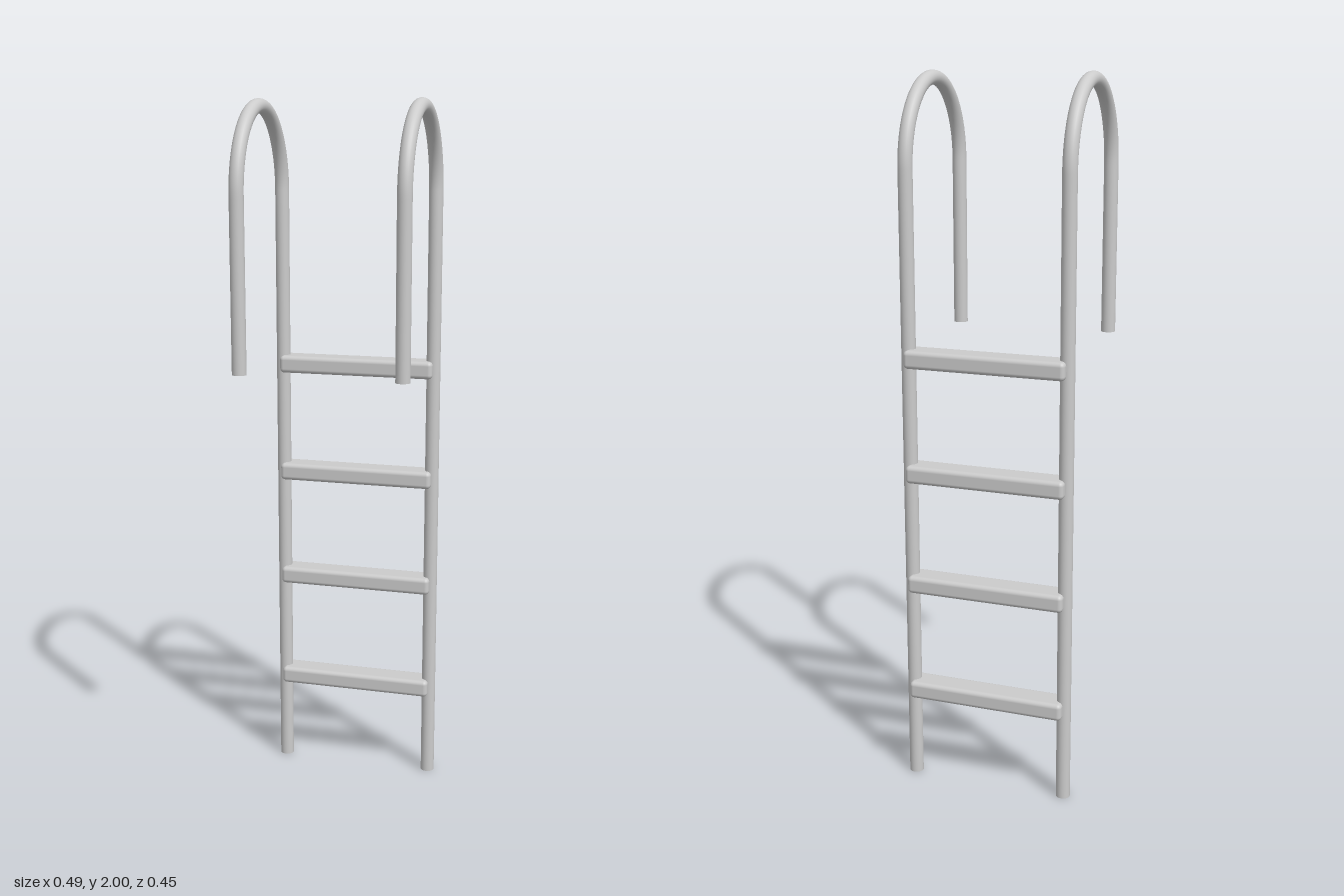
import * as THREE from 'three';
import { RoundedBoxGeometry } from 'three/addons/geometries/RoundedBoxGeometry.js';

const RADIUS = 0.02, RAIL_X = 0.226;
const BACK_Z = -0.185, FRONT_Z = 0.205;
const ARCH_Y = 1.75, TOP_Y = 1.98, GRIP_END_Y = 1.275;

const material = new THREE.MeshStandardMaterial({ color: 0xcccccc });
const point = (y, z) => new THREE.Vector3(0, y, z);

// Centre line: up the back, over a half-ellipse arch, down to the grip end
function railPath() {
  const k = 0.5523;
  const midZ = (BACK_Z + FRONT_Z) / 2;
  const reach = (FRONT_Z - BACK_Z) / 2 * k;
  const rise = ARCH_Y + (TOP_Y - ARCH_Y) * k;
  const path = new THREE.CurvePath();
  path.add(new THREE.LineCurve3(point(0, BACK_Z), point(ARCH_Y, BACK_Z)));
  path.add(new THREE.CubicBezierCurve3(
    point(ARCH_Y, BACK_Z), point(rise, BACK_Z), point(TOP_Y, midZ - reach), point(TOP_Y, midZ)));
  path.add(new THREE.CubicBezierCurve3(
    point(TOP_Y, midZ), point(TOP_Y, midZ + reach), point(rise, FRONT_Z), point(ARCH_Y, FRONT_Z)));
  path.add(new THREE.LineCurve3(point(ARCH_Y, FRONT_Z), point(GRIP_END_Y, FRONT_Z)));
  return path;
}

export function createModel() {
  const ladder = new THREE.Group();
  ladder.name = 'poolLadder';

  const add = (parent, name, geometry, x, y, z) => {
    const mesh = new THREE.Mesh(geometry, material);
    mesh.name = name;
    mesh.position.set(x, y, z);
    parent.add(mesh);
  };

  // Hooked side rails with closed ends
  const tube = new THREE.TubeGeometry(railPath(), 180, RADIUS, 24, false);
  const cap = new THREE.CircleGeometry(RADIUS, 24).rotateX(Math.PI / 2);
  for (const side of [1, -1]) {
    const rail = new THREE.Group();
    rail.name = side > 0 ? 'leftRail' : 'rightRail';
    rail.position.x = side * RAIL_X;
    add(rail, 'railTube', tube, 0, 0, 0);
    add(rail, 'footCap', cap, 0, 0, BACK_Z);
    add(rail, 'gripCap', cap, 0, GRIP_END_Y, FRONT_Z);
    ladder.add(rail);
  }

  // Evenly spaced rounded steps
  const step = new RoundedBoxGeometry(0.456, 0.05, 0.08, 4, 0.012);
  for (let i = 0; i < 4; i++) {
    add(ladder, `step${i + 1}`, step, 0, 0.273 + i * 0.3245, -0.186);
  }

  return ladder;
}
